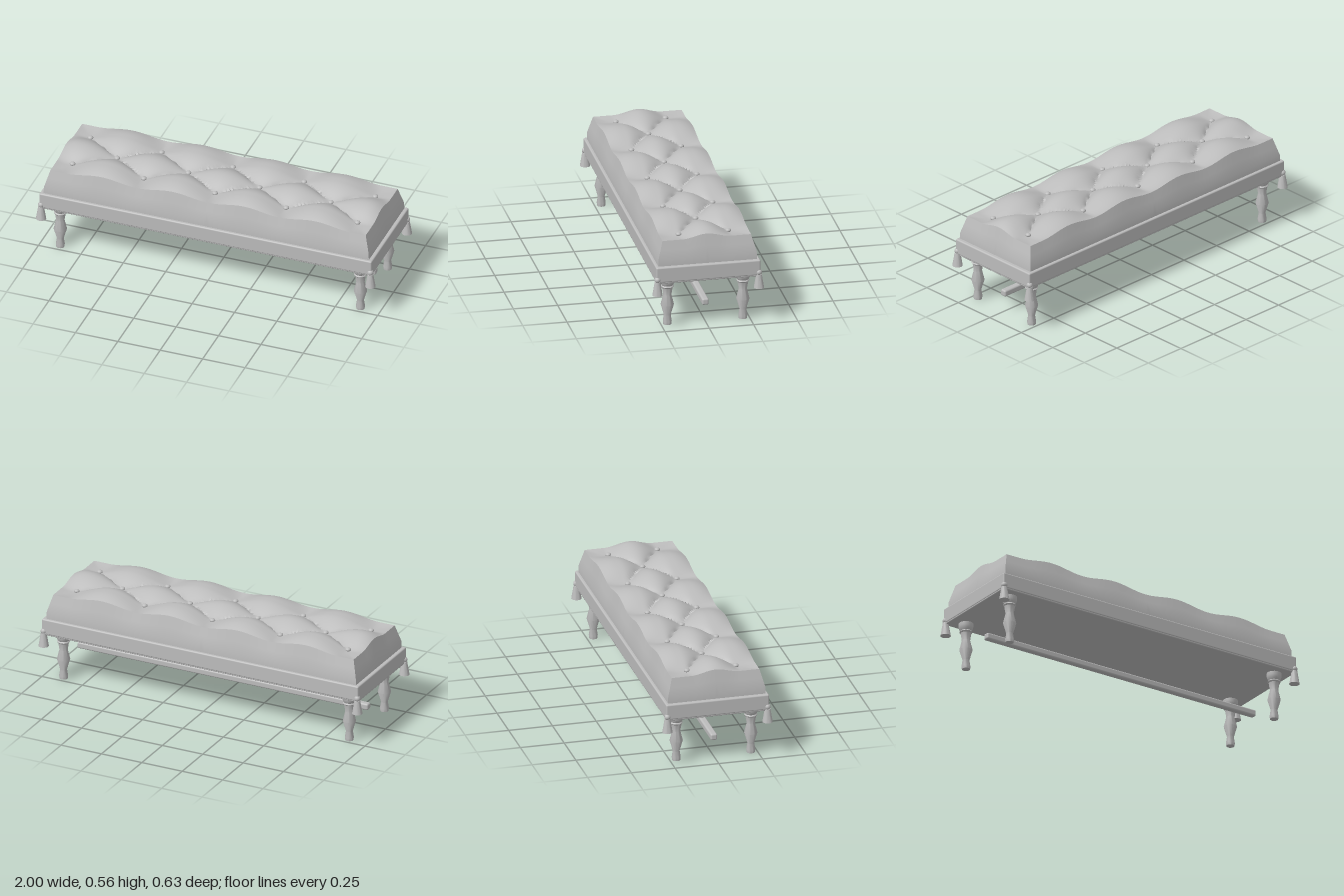
import * as THREE from 'three';
import { toCreasedNormals } from 'three/addons/utils/BufferGeometryUtils.js';
import { RoundedBoxGeometry } from 'three/addons/geometries/RoundedBoxGeometry.js';

const grey = new THREE.MeshStandardMaterial({ color: 0xbcbcbc });
grey.name = 'plain grey';

const DX = 0.42, DZ = 0.28;          // diamond size of the tufting
const TOP_X = 0.93, TOP_Z = 0.25;    // half size of the cushion top
const clamp = THREE.MathUtils.clamp;

function add(parent, name, geometry, x = 0, y = 0, z = 0) {
  const mesh = new THREE.Mesh(geometry, grey);
  mesh.name = name;
  mesh.position.set(x, y, z);
  parent.add(mesh);
  return mesh;
}

function lathe(points, sides = 24) {
  const geo = new THREE.LatheGeometry(points.map(([r, y]) => new THREE.Vector2(r, y)), sides);
  return toCreasedNormals(geo, 0.6);
}

// Height of the tufted top: pillows between diagonal creases, rolled off at the rim
function topHeight(x, z) {
  const cx = clamp(x, -0.84, 0.84), cz = clamp(z, -0.14, 0.14);
  const a = cx / DX + cz / DZ, b = cx / DX - cz / DZ;
  const p = Math.abs(Math.cos(Math.PI * a) * Math.cos(Math.PI * b));
  const h = 0.503 + 0.055 * Math.pow(p, 0.6);
  const t = Math.max(clamp((Math.abs(x) - 0.85) / 0.08, 0, 1), clamp((Math.abs(z) - 0.16) / 0.09, 0, 1));
  return THREE.MathUtils.lerp(h, 0.512 + 0.024 * p, t * t);
}

// Grid lines across the top, then rings running down the sides
function gridLines(half, steps) {
  const rings = [[0.014, 0.5], [0.028, 1], [0.0285, 2]];
  const lines = [];
  for (let i = 0; i <= steps; i++) lines.push([-half + (2 * half * i) / steps, 0]);
  for (const [out, depth] of rings) {
    lines.push([half + out, depth]);
    lines.unshift([-half - out, depth]);
  }
  return lines;
}

function cushionGeometry() {
  const xs = gridLines(TOP_X, 124), zs = gridLines(TOP_Z, 40);
  const pos = [], index = [], n = xs.length;
  for (const [z, dz] of zs) {
    for (const [x, dx] of xs) {
      const d = Math.max(dx, dz);
      const rim = topHeight(clamp(x, -TOP_X, TOP_X), clamp(z, -TOP_Z, TOP_Z));
      const y = d > 1 ? 0.365 : THREE.MathUtils.lerp(rim, 0.41, d);
      pos.push(x, y, z);
    }
  }
  for (let j = 0; j < zs.length - 1; j++) {
    for (let i = 0; i < n - 1; i++) {
      const a = j * n + i, b = a + 1, c = a + n, d = c + 1;
      // split corner cells along the outward diagonal
      if ((xs[i][0] + xs[i + 1][0]) * (zs[j][0] + zs[j + 1][0]) > 0) index.push(a, c, d, a, d, b);
      else index.push(a, c, b, b, c, d);
    }
  }
  const geo = new THREE.BufferGeometry();
  geo.setAttribute('position', new THREE.Float32BufferAttribute(pos, 3));
  geo.setIndex(index);
  return toCreasedNormals(geo, 0.75);
}

export function createModel() {
  const bench = new THREE.Group();
  bench.name = 'tuftedBench';

  add(bench, 'cushion', cushionGeometry());

  // Buttons in three staggered rows
  const button = new THREE.SphereGeometry(0.016, 16, 10);
  button.scale(1, 0.7, 1);
  for (const z of [-0.14, 0, 0.14]) {
    const xs = z === 0 ? [-0.63, -0.21, 0.21, 0.63] : [-0.84, -0.42, 0, 0.42, 0.84];
    for (const x of xs) add(bench, 'button', button, x, 0.509, z);
  }

  // Upholstered frame with a bead along its lower edge
  add(bench, 'frame', new RoundedBoxGeometry(1.96, 0.09, 0.588, 3, 0.008), 0, 0.328, 0);
  add(bench, 'lowerBead', new RoundedBoxGeometry(1.955, 0.016, 0.582, 3, 0.006), 0, 0.284, 0);

  // Turned legs
  const leg = lathe([
    [0, 0], [0.023, 0], [0.025, 0.018], [0.019, 0.055], [0.037, 0.117], [0.023, 0.175],
    [0.03, 0.218], [0.034, 0.221], [0.036, 0.225], [0.034, 0.229], [0.031, 0.232],
    [0.037, 0.242], [0.041, 0.258], [0.041, 0.28]]);

  // Corner tassels: knot and flared skirt
  const knot = new THREE.SphereGeometry(0.0175, 16, 12);
  const skirt = lathe([[0, 0.209], [0.029, 0.209], [0.022, 0.25], [0.016, 0.287], [0, 0.291]], 20);

  for (const sx of [-1, 1]) {
    for (const sz of [-1, 1]) {
      add(bench, 'leg', leg, sx * 0.885, 0, sz * 0.213);
      const tassel = new THREE.Group();
      tassel.name = 'tassel';
      tassel.position.set(sx * 0.971, 0, sz * 0.286);
      add(tassel, 'tasselKnot', knot, 0, 0.299, 0);
      add(tassel, 'tasselSkirt', skirt);
      bench.add(tassel);
    }
  }

  add(bench, 'stretcher', new RoundedBoxGeometry(1.8, 0.038, 0.038, 3, 0.01), 0, 0.116, 0);
  return bench;
}
